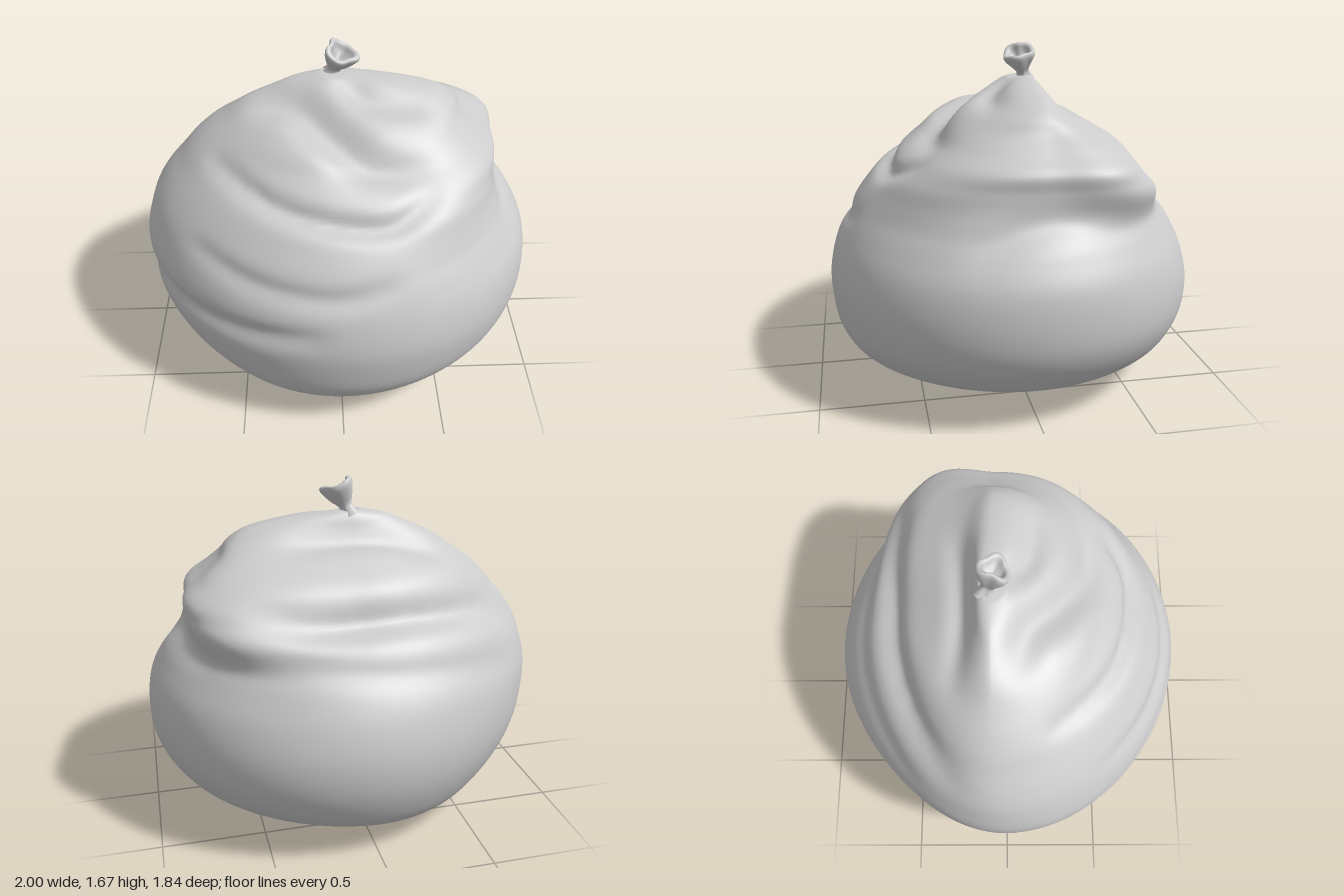
import * as THREE from 'three';

const material = new THREE.MeshStandardMaterial({ color: 0xcccccc, side: THREE.DoubleSide });
const { smoothstep, lerp } = THREE.MathUtils;

// Outline of the sack, bottom to top: height, left x, right x, front z, back z
const LEVELS = [
  [0.01, -0.12, 0.14, 0.12, -0.12],
  [0.004, -0.32, 0.42, 0.32, -0.32],
  [0.0, -0.48, 0.64, 0.48, -0.48],
  [0.02, -0.60, 0.75, 0.61, -0.60],
  [0.07, -0.70, 0.83, 0.73, -0.71],
  [0.15, -0.81, 0.89, 0.825, -0.81],
  [0.28, -0.91, 0.95, 0.89, -0.875],
  [0.42, -0.97, 0.99, 0.915, -0.91],
  [0.56, -0.995, 1.0, 0.92, -0.91],
  [0.70, -1.0, 0.98, 0.89, -0.87],
  [0.82, -0.97, 0.92, 0.84, -0.81],
  [0.92, -0.93, 0.86, 0.78, -0.75],
  [1.01, -0.87, 0.81, 0.71, -0.68],
  [1.09, -0.80, 0.79, 0.64, -0.60],
  [1.17, -0.73, 0.785, 0.54, -0.53],
  [1.24, -0.65, 0.70, 0.45, -0.46],
  [1.31, -0.55, 0.62, 0.38, -0.35],
  [1.38, -0.45, 0.57, 0.27, -0.24],
  [1.44, -0.33, 0.47, 0.15, -0.18],
  [1.485, -0.22, 0.26, 0.05, -0.15],
  [1.51, -0.08, 0.04, -0.01, -0.13],
];

// Creases seen from the core of the sack: depth, width, path (negative depth swells)
const CORE = new THREE.Vector3(0, 0.6, -0.03);
const CREASES = [
  // front rolls
  [0.045, 0.065, [[-0.62, 1.2, 0.2], [-0.3, 1.12, 0.5], [0, 1.09, 0.62], [0.25, 1.1, 0.64], [0.45, 1.17, 0.5]]],
  [0.025, 0.06, [[-0.7, 0.9, 0.45], [-0.4, 0.84, 0.7], [0, 0.83, 0.84], [0.25, 0.88, 0.82]]],
  [0.035, 0.06, [[-0.97, 0.56, 0.1], [-0.85, 0.57, 0.45], [-0.5, 0.6, 0.75], [-0.1, 0.65, 0.9]]],
  // hollows in front of and beside the neck
  [0.075, 0.12, [[-0.36, 1.38, 0.04], [-0.2, 1.4, 0.1], [-0.05, 1.34, 0.25], [0.12, 1.27, 0.38], [0.4, 1.25, 0.42]]],
  [0.04, 0.08, [[0.02, 1.47, 0], [0.15, 1.42, 0.1], [0.38, 1.37, 0.12]]],
  // back rolls
  [0.055, 0.11, [[-0.8, 0.97, -0.25], [-0.4, 1.06, -0.48], [0, 1.09, -0.57], [0.3, 1.09, -0.57], [0.5, 1.1, -0.5]]],
  [0.02, 0.09, [[-0.75, 0.8, -0.5], [0, 0.9, -0.75], [0.5, 0.95, -0.6]]],
  [0.04, 0.08, [[-0.42, 1.3, -0.25], [-0.1, 1.38, -0.21], [0.3, 1.35, -0.23]]],
  // tuck under the shoulder
  [0.03, 0.09, [[0.84, 0.85, 0.3], [0.82, 0.95, 0], [0.72, 0.93, -0.42]]],
].map(([depth, width, path]) => {
  const curve = new THREE.CatmullRomCurve3(path.map((p) => new THREE.Vector3(...p).sub(CORE)));
  return { depth, width, dirs: curve.getPoints(40).map((p) => p.normalize()) };
});

// Pushes a point toward the core where a crease passes
function crease(point) {
  const dir = point.clone().sub(CORE).normalize();
  let push = 0;
  for (const { depth, width, dirs } of CREASES) {
    let best = 0;
    dirs.forEach((d, i) => {
      const taper = Math.sqrt(Math.max(0, Math.sin((Math.PI * i) / (dirs.length - 1))));
      best = Math.max(best, Math.exp(-d.distanceToSquared(dir) / width ** 2) * taper);
    });
    push += depth * best;
  }
  return point.addScaledVector(dir, -push);
}

// Skin through closed rings of points, with end caps given as [ring, centre]
function skin(rings, around, point, caps) {
  const pos = [], index = [];
  for (let j = 0; j <= rings; j++)
    for (let i = 0; i < around; i++) pos.push(...point(j / rings, (i / around) * Math.PI * 2));
  for (let j = 0; j < rings; j++)
    for (let i = 0; i < around; i++) {
      const n = (i + 1) % around;
      const a = j * around + i, b = j * around + n, c = a + around, d = b + around;
      index.push(a, c, b, b, c, d);
    }
  caps.forEach(([ring, centre]) => {
    const k = pos.length / 3, s = ring * around;
    pos.push(...centre);
    for (let i = 0; i < around; i++) {
      const a = s + i, b = s + ((i + 1) % around);
      if (ring === 0) index.push(k, a, b);
      else index.push(k, b, a);
    }
  });
  const geometry = new THREE.BufferGeometry();
  geometry.setAttribute('position', new THREE.Float32BufferAttribute(pos, 3));
  geometry.setIndex(index);
  geometry.computeVertexNormals();
  return geometry;
}

// Slumped body with a tilted base and a squared shoulder on one side
function sackGeometry() {
  const outline = new THREE.CubicInterpolant(LEVELS.map((_, i) => i), LEVELS.flat(), 5);
  const point = (t, angle) => {
    const [y, left, right, front, back] = outline.evaluate(t * (LEVELS.length - 1));
    const ax = lerp(0.05, -0.02, smoothstep(y, 0.5, 1.5));
    const az = lerp(0, -0.07, smoothstep(y, 0.5, 1.5));
    const c = Math.cos(angle), s = Math.sin(angle);
    // Corners of the plan: shoulder bulges on the right, flatter on the left
    const shoulder = smoothstep(y, 0.88, 1.1) * (1 - smoothstep(y, 1.25, 1.48));
    const corner = c > 0 ? (s > 0 ? 0.06 : 0.22) * shoulder : s > 0 ? -0.02 : -0.045;
    const k = 1 + corner * Math.sin(2 * angle) ** 2;
    const x = ax + k * c * (c > 0 ? right - ax : ax - left);
    const z = az + k * s * (s > 0 ? front - az : az - back);
    // Base rises toward the right, easing in past the lowest point
    const rise = x + 0.4;
    const tilt = 0.0575 * (rise + Math.sqrt(rise * rise + 0.01)) * (1 - smoothstep(y, -0.2, 0.5)) * 1.2;
    return crease(new THREE.Vector3(x, Math.max(0, y) + tilt - 0.004, z));
  };
  return skin(120, 128, point, [[0, [0, 0.05, 0]], [120, [-0.02, 1.5, -0.07]]]);
}

// Tied-off end: narrow neck, crumpled flare, rolled lip and hollow mouth
function knotGeometry() {
  const profile = new THREE.SplineCurve([
    [0.05, -0.04], [0.034, 0.0], [0.034, 0.025], [0.055, 0.06], [0.078, 0.105],
    [0.078, 0.13], [0.058, 0.13], [0.042, 0.1], [0.012, 0.07],
  ].map(([r, h]) => new THREE.Vector2(r, h)));
  const point = (t, angle) => {
    const p = profile.getPoint(t);
    const crumple = 1 + 0.1 * Math.sin(3 * angle + 0.5) + 0.06 * Math.sin(5 * angle);
    const wave = 0.012 * Math.sin(2 * angle + 1) * smoothstep(p.y, 0.05, 0.12);
    return [p.x * crumple * Math.cos(angle), p.y + wave, p.x * crumple * Math.sin(angle)];
  };
  return skin(28, 32, point, [[28, [0, 0.066, 0]]]);
}

export function createModel() {
  const group = new THREE.Group();
  group.name = 'tiedSack';

  const sack = new THREE.Mesh(sackGeometry(), material);
  sack.name = 'sackBody';

  const knot = new THREE.Mesh(knotGeometry(), material);
  knot.name = 'tiedNeck';
  knot.position.set(-0.02, 1.508, -0.09);
  knot.rotation.set(0.3, 0, -0.35);

  group.add(sack, knot);
  return group;
}
